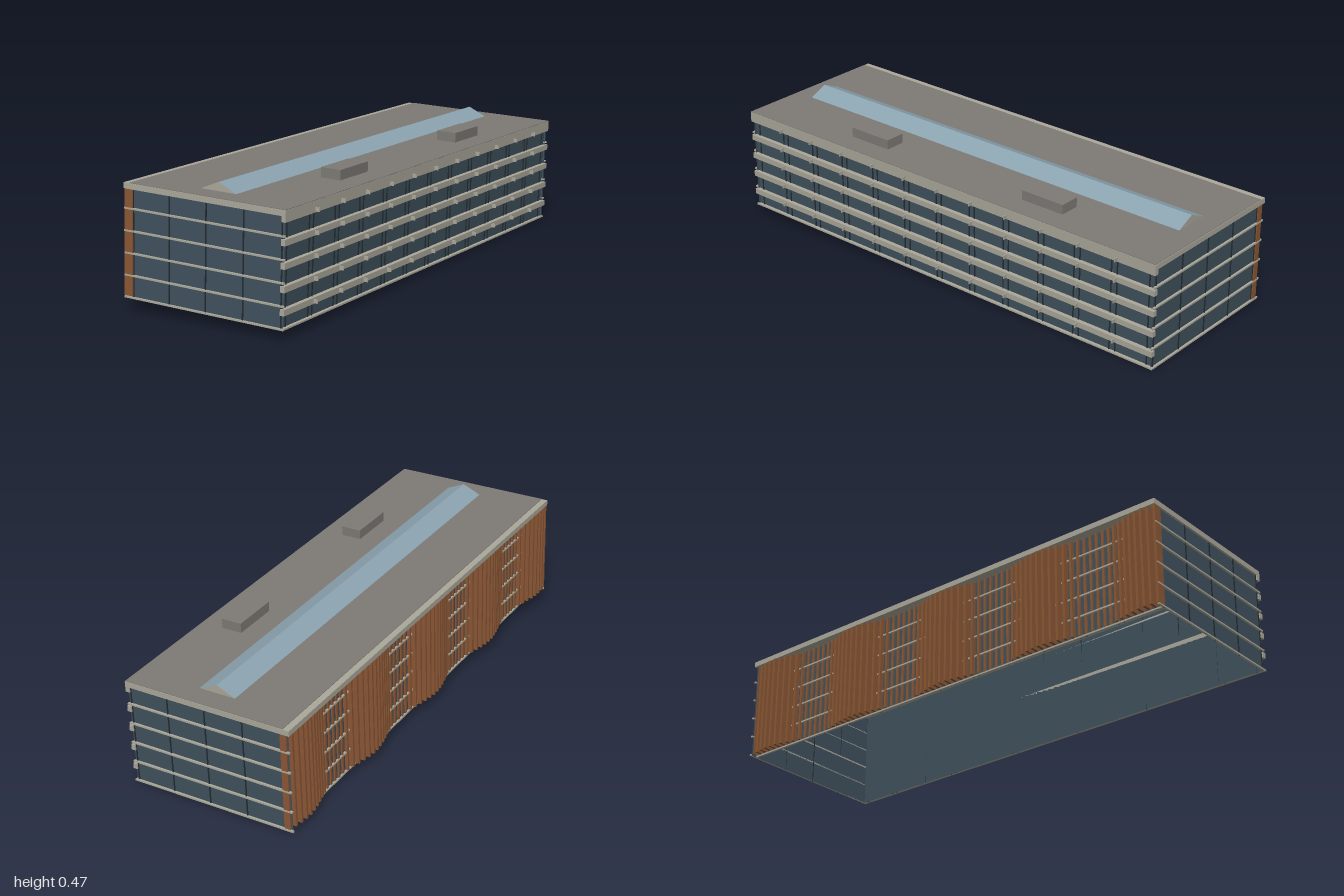
import * as THREE from 'three';

const mat = (color, side = THREE.FrontSide) => new THREE.MeshStandardMaterial({ color, side, flatShading: true });

export function createModel() {
  const glass = mat(0x3f505c, THREE.DoubleSide);
  const frame = mat(0x232b31);
  const stone = mat(0xaaa799);
  const roofGrey = mat(0x7d7a75);
  const timber = mat(0x8a5734);
  const skyGlass = mat(0x8ba3b0);

  const W = 0.322, L = 0.948, H = 0.395, FLOOR = 0.0765, FLOORS = 5;
  const wallR = 0.306, wallL = -0.285, wallZ = 0.94;
  const building = new THREE.Group();
  building.name = 'building';

  const group = (name) => {
    const g = new THREE.Group();
    g.name = name;
    building.add(g);
    return g;
  };
  const box = (parent, name, m, sx, sy, sz, x, y, z) => {
    const mesh = new THREE.Mesh(new THREE.BoxGeometry(sx, sy, sz), m);
    mesh.name = name;
    mesh.position.set(x, y, z);
    parent.add(mesh);
    return mesh;
  };

  // Glazed walls: thin sheets around an open-bottomed shell
  const walls = group('glassWalls');
  const wallH = H - 0.02;
  const wall = (name, width, x, z, ry) => {
    const mesh = new THREE.Mesh(new THREE.PlaneGeometry(width, wallH), glass);
    mesh.name = name;
    mesh.position.set(x, wallH / 2, z);
    mesh.rotation.y = ry;
    walls.add(mesh);
  };
  const midX = (wallL + wallR) / 2, spanX = wallR - wallL;
  wall('frontWall', 0.63, 0, wallZ, 0);
  wall('backWall', 0.63, 0, -wallZ, Math.PI);
  wall('rightWall', 2 * wallZ, wallR, 0, Math.PI / 2);
  wall('leftWall', 2 * wallZ, wallL, 0, -Math.PI / 2);

  // Mullions
  const mullions = group('mullions');
  for (const s of [-1, 1]) {
    for (let i = 0; i <= 4; i++) {
      const x = midX + spanX * (i / 4 - 0.5);
      box(mullions, 'endMullion', frame, 0.004, wallH, 0.003, x, wallH / 2, s * (wallZ + 0.0015));
    }
  }
  for (let i = -6; i <= 6; i++) {
    for (const d of [-0.012, 0.012]) {
      const z = i * 0.155 + d;
      if (Math.abs(z) > wallZ) continue;
      box(mullions, 'sideMullion', frame, 0.003, wallH, 0.004, wallR + 0.0015, wallH / 2, z);
      box(mullions, 'sideMullion', frame, 0.003, wallH, 0.004, wallL - 0.0015, wallH / 2, z);
    }
  }

  // Floor slab edges on the two ends and behind the timber screen
  const slabs = group('slabEdges');
  for (let k = 0; k < FLOORS; k++) {
    const y = k * FLOOR + 0.003;
    for (const s of [-1, 1]) {
      box(slabs, 'endSlab', stone, 2 * W - 0.006, 0.006, L - wallZ, 0, y, s * (L + wallZ) / 2);
    }
    box(slabs, 'leftSlab', stone, 0.008, 0.006, 2 * wallZ, wallL - 0.004, y, 0);
  }
  box(slabs, 'rightBaseSlab', stone, W - wallR - 0.004, 0.006, 2 * L, (W + wallR) / 2 - 0.002, 0.003, 0);

  // Sunshade bands on the right side, with small brackets
  const shades = group('sunshades');
  for (let k = 0; k < FLOORS; k++) {
    const y = 0.06 + k * FLOOR;
    box(shades, 'sunshadeBand', stone, W - wallR, 0.021, 2 * L, (W + wallR) / 2, y, 0);
    for (let i = -5; i <= 5; i++) {
      box(shades, 'bracket', stone, 0.018, 0.014, 0.003, W + 0.007, y, i * 0.157 - 0.01);
    }
  }

  // Timber fins on the left, their depth rising and falling in waves
  const fins = group('timberFins');
  const count = 74;
  for (let i = 0; i < count; i++) {
    const z = -L + 0.006 + (2 * L - 0.012) * i / (count - 1);
    const wave = Math.cos((z + L - 0.1) * Math.PI * 2 / 0.435);
    const depth = Math.max(0.006, 0.02 + 0.019 * wave);
    box(fins, 'fin', timber, depth, wallH - 0.008, 0.009, wallL - depth / 2, wallH / 2 + 0.004, z);
  }

  // Roof: pale edge slab with a darker deck that stops short of the left edge
  const roof = group('roof');
  box(roof, 'roofSlab', stone, 2 * W, 0.02, 2 * L, 0, H - 0.01, 0);
  box(roof, 'roofDeck', roofGrey, 2 * W - 0.025, 0.003, 2 * L - 0.004, 0.0115, H + 0.0005, 0);

  // Ridge skylight with pale gable ends
  const gable = new THREE.Shape([[-0.07, 0], [0.07, 0], [0, 0.031]].map(([x, y]) => new THREE.Vector2(x, y)));
  const ridge = new THREE.Mesh(
    new THREE.ExtrudeGeometry(gable, { depth: 1.734, bevelEnabled: false }), [stone, skyGlass]);
  ridge.name = 'skylight';
  ridge.position.set(0.006, H + 0.002, -0.867);
  roof.add(ridge);

  // Plant rooms
  for (const z of [-0.41, 0.4]) box(roof, 'plantRoom', roofGrey, 0.078, 0.038, 0.178, 0.197, H + 0.019, z);

  // Turn on plan, with a slight lean
  building.rotation.set(-0.018, 0.366, -0.02, 'YXZ');
  building.position.y = 0.0245;
  const model = new THREE.Group();
  model.name = 'officeBlock';
  model.add(building);
  return model;
}
